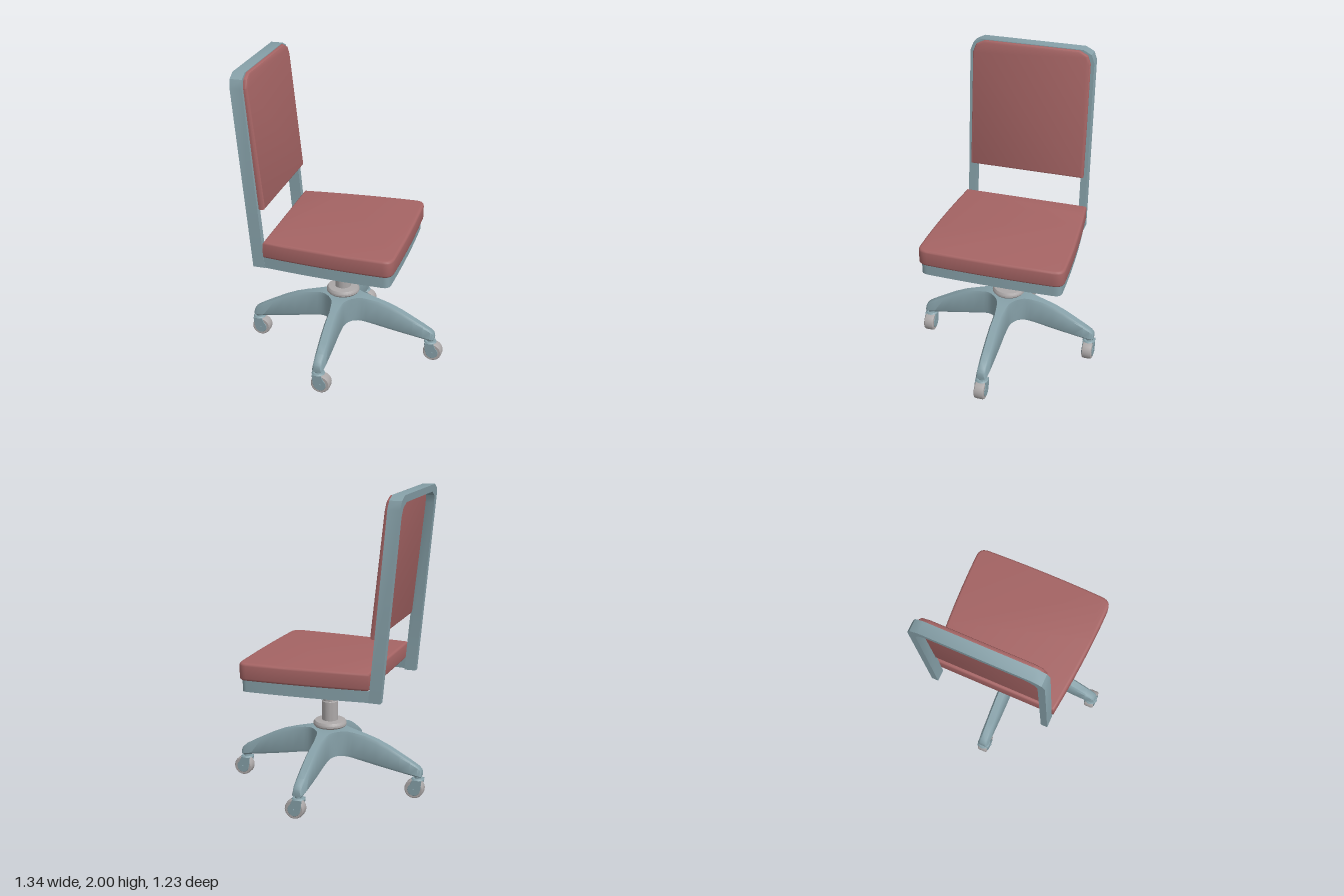
import * as THREE from 'three';
import { toCreasedNormals } from 'three/addons/utils/BufferGeometryUtils.js';

const steel = new THREE.MeshStandardMaterial({ color: 0x86a0a8 });
const fabric = new THREE.MeshStandardMaterial({ color: 0xa56464 });
const grey = new THREE.MeshStandardMaterial({ color: 0xaca8a8 });

function add(parent, name, geometry, material, x = 0, y = 0, z = 0) {
  const mesh = new THREE.Mesh(geometry, material);
  mesh.name = name;
  mesh.position.set(x, y, z);
  parent.add(mesh);
  return mesh;
}

// Extrusion of total thickness t whose bevel stays inside the outline
function slab(shape, t, bevel, segments = 2) {
  const g = new THREE.ExtrudeGeometry(shape, {
    depth: t - 2 * bevel, bevelEnabled: bevel > 0, bevelSize: bevel, bevelThickness: bevel,
    bevelOffset: -bevel, bevelSegments: segments, curveSegments: 6,
  });
  return g.translate(0, 0, bevel);
}

// Seat outline: bowed sides widening to the front, rounded front corners
function seatOutline(x0, x1, back, front, r) {
  const s = new THREE.Shape();
  const mid = (back + front) / 2 + 0.025;
  s.moveTo(x0, -back);
  s.quadraticCurveTo((x0 + x1) / 2, -mid, x1 - r, -front);
  s.quadraticCurveTo(x1 - 0.01, -front, x1 - 0.008, -front + r);
  s.quadraticCurveTo(x1 + 0.008, 0, x1 - 0.008, front - r);
  s.quadraticCurveTo(x1 - 0.01, front, x1 - r, front);
  s.quadraticCurveTo((x0 + x1) / 2, mid, x0, back);
  s.closePath();
  return s;
}

// Lay a slab flat
const flat = (geometry) => toCreasedNormals(geometry.rotateX(-Math.PI / 2), 0.6);

// Outline points of the back, with clipped top corners
function backOutline(w, bottom, top) {
  const half = [[w, bottom], [w, top - 0.08], [w - 0.02, top - 0.028], [w - 0.075, top]];
  const mirrored = half.map(([x, y]) => [-x, y]).reverse();
  return [...half, ...mirrored].map(([x, y]) => new THREE.Vector2(x, y));
}

// Turn an upright slab to face +x and lean it backwards
function lean(geometry, offset, slope) {
  geometry.rotateY(Math.PI / 2).translate(offset, 0, 0);
  geometry.applyMatrix4(new THREE.Matrix4().makeShear(0, 0, -slope, 0, 0, 0));
  return toCreasedNormals(geometry, 0.5);
}

// Base arm: [radius, half width, top, bottom] sections, filleted into a mitre at the hub
const ARM = [
  [0.001, 0.001, 0.41, 0.245], [0.082, 0.082, 0.41, 0.243], [0.1, 0.0675, 0.41, 0.242],
  [0.12, 0.0566, 0.409, 0.24], [0.142, 0.05, 0.407, 0.236], [0.17, 0.047, 0.402, 0.231],
  [0.25, 0.046, 0.385, 0.215], [0.33, 0.046, 0.36, 0.2], [0.41, 0.045, 0.325, 0.186],
  [0.49, 0.043, 0.283, 0.172], [0.56, 0.041, 0.245, 0.16], [0.61, 0.037, 0.216, 0.152],
  [0.628, 0.033, 0.2, 0.15], [0.635, 0.028, 0.185, 0.152],
];
function armGeometry(stretch) {
  const pos = [], index = [], n = 8;
  ARM.forEach(([r, w, top, bottom]) => {
    const h = top - bottom;
    const hub = THREE.MathUtils.clamp((0.25 - r) / 0.17, 0, 1);
    const half = [[0.85, bottom], [1, bottom + h * 0.12], [0.75, top - h * 0.12], [0.5, top]]
      .map(([s, y]) => [w * THREE.MathUtils.lerp(s, 0.97, hub), y]);
    // Inside the hub the points lie on the diagonals, so neighbouring arms meet
    const x = (z) => (r < 0.09 ? z : 0.1 + (r - 0.1) * stretch);
    half.forEach(([z, y]) => pos.push(x(z), y, -z));
    half.reverse().forEach(([z, y]) => pos.push(x(z), y, z));
  });
  for (let i = 0; i < ARM.length - 1; i++) {
    for (let j = 0; j < n; j++) {
      const a = i * n + j, b = i * n + (j + 1) % n;
      index.push(a, b, a + n, b, b + n, a + n);
    }
  }
  const end = (ARM.length - 1) * n;
  for (let j = 1; j < n - 1; j++) index.push(end, end + j, end + j + 1);
  const g = new THREE.BufferGeometry();
  g.setAttribute('position', new THREE.Float32BufferAttribute(pos, 3));
  g.setIndex(index);
  return toCreasedNormals(g, 0.7);
}

// Caster with its stem at the origin and the wheel trailing towards +x
function caster() {
  const c = new THREE.Group();
  c.name = 'caster';
  add(c, 'casterStem', new THREE.CylinderGeometry(0.022, 0.022, 0.05, 16), steel, 0, 0.148);
  add(c, 'casterCap', new THREE.CylinderGeometry(0.036, 0.043, 0.008, 20), steel, 0, 0.132);
  const profile = [[0.01, -0.033], [0.056, -0.033], [0.061, -0.029], [0.063, -0.02],
    [0.063, 0.02], [0.061, 0.029], [0.056, 0.033], [0.01, 0.033]];
  const tyre = new THREE.LatheGeometry(profile.map(([r, y]) => new THREE.Vector2(r, y)), 28);
  add(c, 'casterWheel', toCreasedNormals(tyre.rotateX(Math.PI / 2), 0.6), grey, 0.02, 0.063);
  // Fork cheek: rounded around the axle, rising to the cap
  const cheek = new THREE.Shape();
  cheek.moveTo(-0.034, 0.13);
  cheek.lineTo(-0.026, 0.06);
  cheek.absarc(0.018, 0.062, 0.042, Math.PI, Math.PI * 2.3, false);
  cheek.lineTo(0.028, 0.13);
  cheek.closePath();
  for (const side of [-1, 1]) {
    add(c, 'casterFork', slab(cheek, 0.006, 0.002, 1), steel, 0, 0, side * 0.035 - 0.003);
  }
  add(c, 'casterAxle', new THREE.CylinderGeometry(0.006, 0.006, 0.09, 10).rotateX(Math.PI / 2), steel, 0.02, 0.063);
  return c;
}

export function createModel() {
  const chair = new THREE.Group();
  chair.name = 'officeChair';

  // Seat pan: an underside skin and a thin rim that is open at the back
  const panOutline = seatOutline(-0.43, 0.42, 0.41, 0.462, 0.05);
  const underside = new THREE.ShapeGeometry(panOutline, 6).rotateX(Math.PI / 2);
  add(chair, 'seatPanUnderside', underside, steel, 0, 0.746, -0.005);
  const inside = seatOutline(-0.43, 0.412, 0.402, 0.454, 0.046).getPoints(6).slice(0, -1).reverse();
  const rim = new THREE.Shape([...panOutline.getPoints(6).slice(0, -1), ...inside]);
  add(chair, 'seatPanRim', flat(slab(rim, 0.074, 0)), steel, 0, 0.746, -0.005);

  // Seat cushion
  const cushion = slab(seatOutline(-0.42, 0.438, 0.425, 0.478, 0.07), 0.112, 0.016, 3);
  add(chair, 'seatCushion', flat(cushion), fabric, 0, 0.82, -0.005);

  // Back: inverted U frame holding a padded panel
  const outer = backOutline(0.415, 0.746, 2);
  const inner = backOutline(0.37, 0.746, 1.955).reverse();
  const frame = slab(new THREE.Shape([...outer, ...inner]), 0.077, 0);
  add(chair, 'backFrame', lean(frame, -0.425, 0.0885), steel, 0, 0, -0.005);
  const pad = slab(new THREE.Shape(backOutline(0.392, 1.138, 1.996)), 0.047, 0.014);
  add(chair, 'backCushion', lean(pad, -0.338, 0.105), fabric, 0, 0, -0.005);

  // Stepped column with a collar
  const base = new THREE.Group();
  base.name = 'base';
  base.position.set(-0.017, 0, -0.004);
  chair.add(base);
  const column = [[0, 0.4], [0.03, 0.4], [0.03, 0.425], [0.102, 0.425], [0.11, 0.435], [0.11, 0.448],
    [0.1, 0.463], [0.053, 0.467], [0.053, 0.595], [0.048, 0.6], [0.048, 0.657], [0.038, 0.657], [0.038, 0.75]];
  const columnGeometry = new THREE.LatheGeometry(column.map(([r, y]) => new THREE.Vector2(r, y)), 32);
  add(base, 'column', toCreasedNormals(columnGeometry, 0.6), grey);

  // Four arms with casters
  for (let k = 0; k < 4; k++) {
    const sideways = k % 2 === 1;
    const angle = k * Math.PI / 2;
    const arm = add(base, 'baseArm', armGeometry(sideways ? 0.935 : 1), steel);
    arm.rotation.y = angle;
    const reach = sideways ? 0.568 : 0.607;
    const wheel = caster();
    wheel.position.set(Math.cos(angle) * reach, 0, -Math.sin(angle) * reach);
    base.add(wheel);
  }
  return chair;
}
